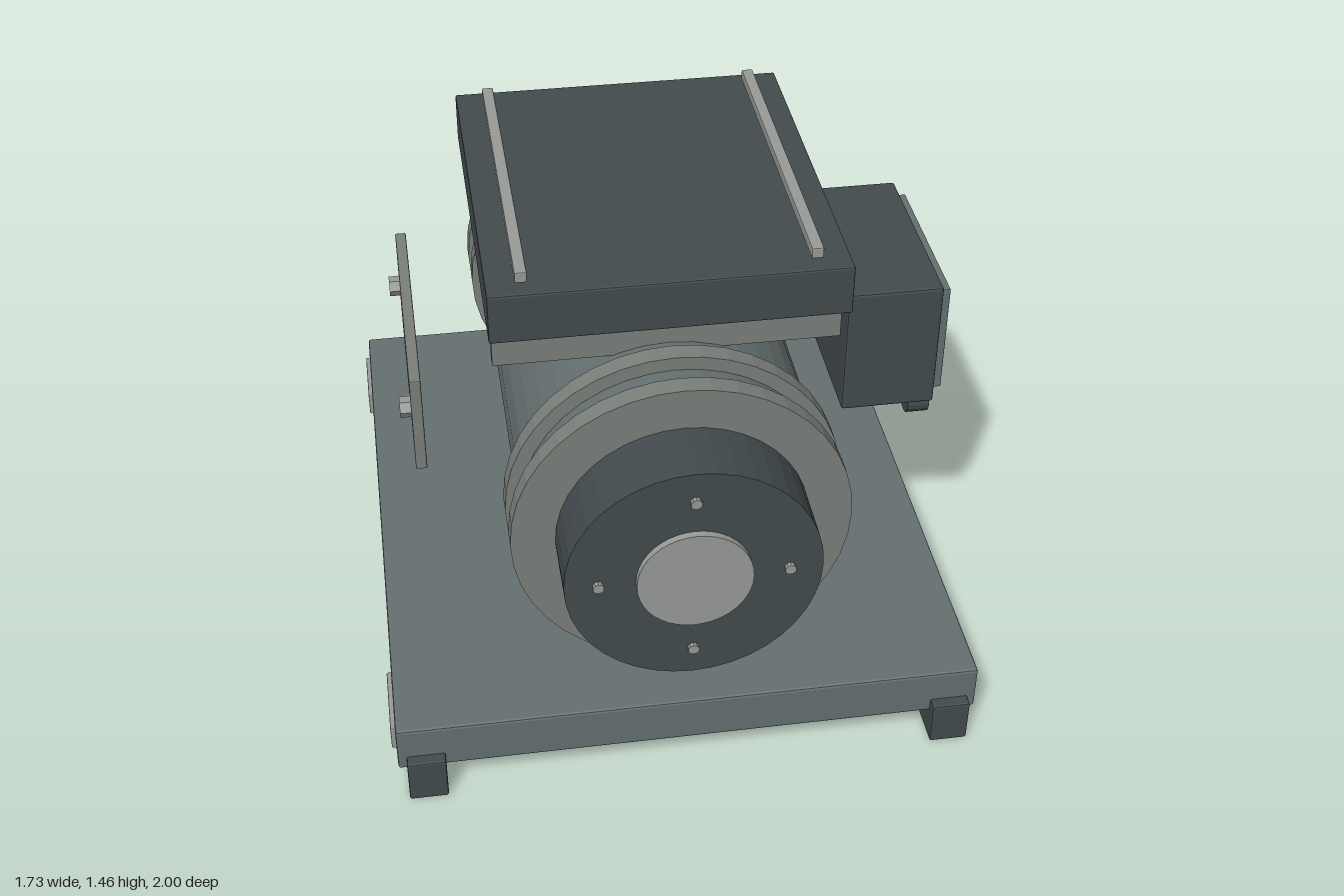
import * as THREE from 'three';
import { RoundedBoxGeometry } from 'three/addons/geometries/RoundedBoxGeometry.js';

const paint = (color) => new THREE.MeshStandardMaterial({ color, flatShading: true });

export function createModel() {
  const model = new THREE.Group();
  model.name = 'generator';
  const dark = paint(0x434b4e);
  const teal = paint(0x657070);
  const ringGrey = paint(0x7b807b);
  const pale = paint(0x989b98);

  function add(name, geometry, material, x, y, z) {
    const mesh = new THREE.Mesh(geometry, material);
    mesh.name = name;
    mesh.position.set(x, y, z);
    model.add(mesh);
    return mesh;
  }
  // Box given by its extents on each axis, with slightly softened edges
  function box(name, material, [x0, x1], [y0, y1], [z0, z1], bevel = 0.004) {
    const geometry = new RoundedBoxGeometry(x1 - x0, y1 - y0, z1 - z0, 1, bevel);
    return add(name, geometry, material, (x0 + x1) / 2, (y0 + y1) / 2, (z0 + z1) / 2);
  }
  // Cylinder lying along z
  function drum(name, material, radius, z0, z1, x = 0, y = axisY, sides = 40) {
    const geometry = new THREE.CylinderGeometry(radius, radius, z1 - z0, sides).rotateX(Math.PI / 2);
    return add(name, geometry, material, x, y, (z0 + z1) / 2);
  }
  // Cylinder lying along x
  function stub(name, material, radius, x0, x1, y, z, sides) {
    const geometry = new THREE.CylinderGeometry(radius, radius, x1 - x0, sides).rotateZ(Math.PI / 2);
    return add(name, geometry, material, (x0 + x1) / 2, y, z);
  }
  const axisY = 0.725;

  // Base slab on two skids, with pale lugs on its sides
  box('base', teal, [-0.85, 0.85], [0.095, 0.24], [-0.965, 0.965], 0.008);
  for (const s of [-1, 1]) {
    box('skid', dark, [s * 0.769 - 0.056, s * 0.769 + 0.056], [0, 0.14], [-1, 1], 0.006);
    for (const t of [-1, 1]) {
      box('baseLug', pale, [s * 0.85 - 0.014, s * 0.85 + 0.014], [0.122, 0.2],
        [t * 0.793 - 0.115, t * 0.793 + 0.115]);
    }
  }

  // Motor body
  drum('body', teal, 0.445, -0.74, 0.74);

  // Both ends: flange rings, end cap, shaft disc and bolts
  for (const s of [-1, 1]) {
    const span = (a, b) => (s > 0 ? [a, b] : [-b, -a]);
    drum('innerRing', ringGrey, 0.486, ...span(0.558, 0.616));
    drum('outerRing', ringGrey, 0.486, ...span(0.708, 0.767));
    drum('endCap', dark, 0.36, ...span(0.76, 0.965));
    drum('shaftDisc', pale, 0.162, ...span(0.95, 0.986));
    for (let i = 0; i < 4; i++) {
      const a = (i * Math.PI) / 2;
      drum('capBolt', pale, 0.016, ...span(0.95, 0.979),
        0.266 * Math.cos(a), axisY + 0.266 * Math.sin(a), 10);
    }
  }

  // Cooling fins carrying the top housing and its rails
  for (let i = 0; i < 6; i++) {
    const z = 0.467 - i * 0.177;
    box('fin', ringGrey, [-0.493, 0.493], [1.14, 1.275], [z - 0.018, z + 0.018], 0.002);
  }
  box('topHousing', dark, [-0.503, 0.503], [1.27, 1.422], [-0.562, 0.562], 0.006);
  for (const s of [-1, 1]) {
    box('topRail', pale, [s * 0.406 - 0.017, s * 0.406 + 0.017], [1.43, 1.463], [-0.516, 0.516]);
  }

  // Control box with door and cable glands
  box('controlBox', dark, [0.54, 0.82], [0.792, 1.2], [-0.212, 0.382], 0.008);
  box('controlDoor', teal, [0.81, 0.85], [0.82, 1.172], [-0.18, 0.35]);
  for (const z of [0.304, -0.132]) stub('cableGland', dark, 0.046, 0.755, 0.82, 0.757, z, 20);

  // Side plate with two hex bolts
  box('sidePlate', ringGrey, [-0.725, -0.692], [0.722, 1.04], [-0.394, 0.39]);
  for (const z of [-0.316, 0.312]) stub('plateBolt', pale, 0.031, -0.757, -0.72, 0.895, z, 6);

  return model;
}
